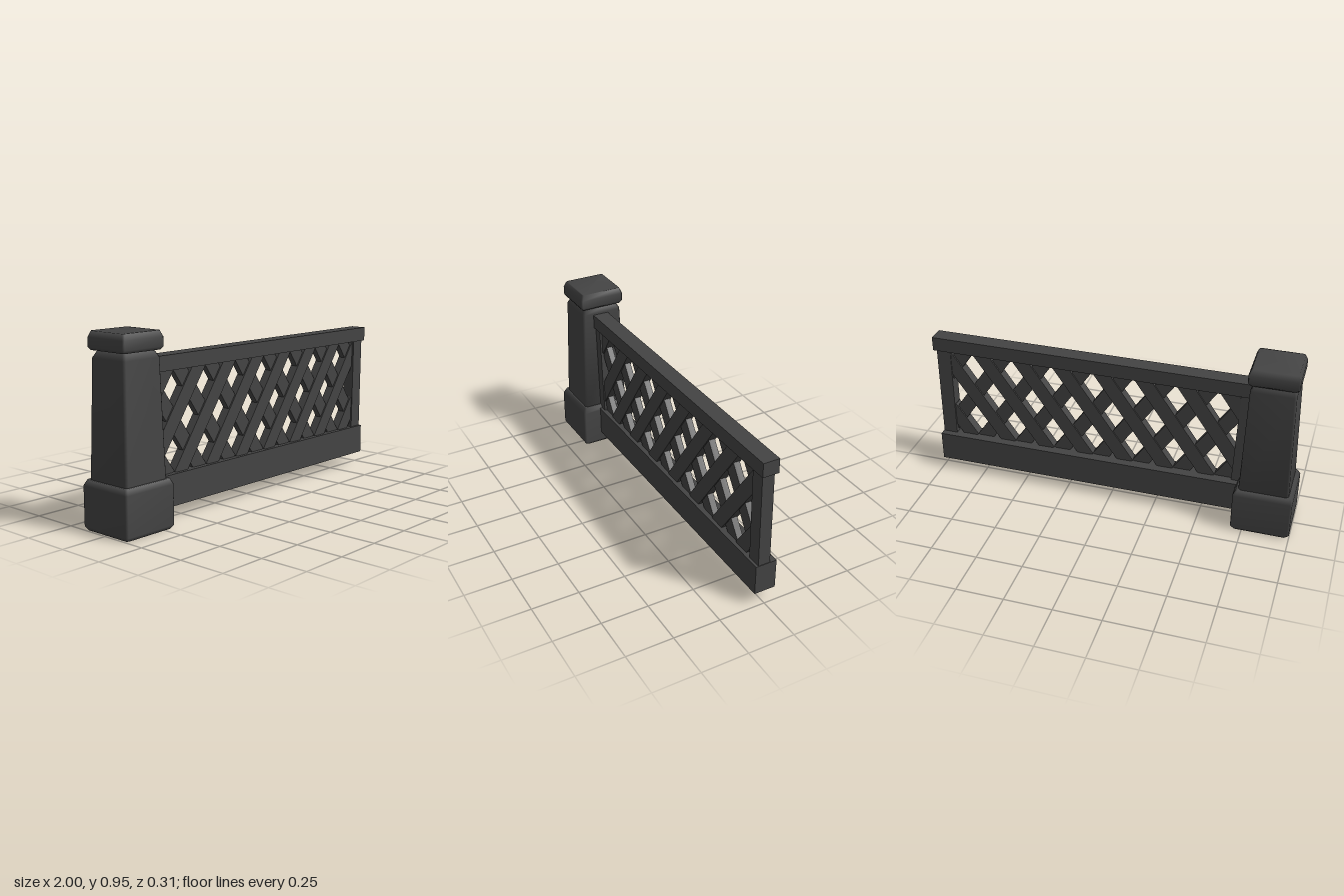
import * as THREE from 'three';

const material = new THREE.MeshStandardMaterial({ color: 0x444444 });
const flat = new THREE.MeshStandardMaterial({ color: 0x444444, flatShading: true });

function add(parent, name, geometry, mat = flat) {
  const mesh = new THREE.Mesh(geometry, mat);
  mesh.name = name;
  parent.add(mesh);
  return mesh;
}

// Box given by its limits; the top may be shifted to make it lean
function span(x0, x1, y0, y1, z0, z1, leanX = 0, leanZ = 0) {
  const g = new THREE.BoxGeometry(x1 - x0, y1 - y0, z1 - z0);
  g.translate((x0 + x1) / 2, (y0 + y1) / 2, (z0 + z1) / 2);
  const p = g.attributes.position;
  for (let i = 0; i < p.count; i++) {
    if (p.getY(i) > (y0 + y1) / 2) p.setXYZ(i, p.getX(i) + leanX, p.getY(i), p.getZ(i) + leanZ);
  }
  return g;
}

// Square stone with softened corners, lofted through [halfWidth, y] levels
function stone(levels, corner) {
  const pos = [], index = [];
  for (const [h, y] of levels) {
    const c = h - corner;
    for (const [x, z] of [[h, c], [h, -c], [c, -h], [-c, -h], [-h, -c], [-h, c], [-c, h], [c, h]]) pos.push(x, y, z);
  }
  for (let l = 0; l < levels.length - 1; l++) {
    for (let i = 0; i < 8; i++) {
      const a = l * 8 + i, b = l * 8 + (i + 1) % 8;
      index.push(a, b, b + 8, a, b + 8, a + 8);
    }
  }
  const top = (levels.length - 1) * 8;
  for (let i = 1; i < 7; i++) {
    index.push(0, i + 1, i);
    index.push(top, top + i, top + i + 1);
  }
  const g = new THREE.BufferGeometry();
  g.setAttribute('position', new THREE.Float32BufferAttribute(pos, 3));
  g.setIndex(index);
  g.computeVertexNormals();
  return g;
}

export function createModel() {
  const model = new THREE.Group();
  model.name = 'fenceSection';

  // Tapered stone pillar
  const pillar = new THREE.Group();
  pillar.name = 'pillar';
  pillar.position.x = -0.845;
  model.add(pillar);
  add(pillar, 'pillarBase', stone([[0.142, 0], [0.155, 0.02], [0.155, 0.22], [0.142, 0.248]], 0.01), material);
  add(pillar, 'pillarShaft', stone([[0.131, 0.235], [0.115, 0.83], [0.094, 0.872]], 0.012), material);
  add(pillar, 'pillarCap', stone([[0.117, 0.865], [0.127, 0.88], [0.127, 0.925], [0.115, 0.955]], 0.008), material);

  // Rails and uprights
  add(model, 'topRail', span(-0.76, 1, 0.745, 0.822, -0.035, 0.053));
  add(model, 'bottomRail', span(-0.76, 0.988, 0.068, 0.23, -0.065, 0.05));
  add(model, 'endUpright', span(0.907, 0.985, 0.22, 0.755, -0.029, 0.036, 0, 0.007));
  add(model, 'pillarUpright', span(-0.75, -0.658, 0.22, 0.755, -0.029, 0.036, -0.02, 0.007));

  // Diagonal lattice, each slat cut to the frame opening
  const lattice = new THREE.Group();
  lattice.name = 'lattice';
  model.add(lattice);
  const pitch = 0.2246, slope = 1.434, midY = 0.492;
  const angle = Math.atan(slope);
  for (const dir of [1, -1]) {
    for (let k = -3; k <= 7; k++) {
      const x = -0.342 + k * pitch;
      const reach = 0.278 / slope;
      const xa = Math.max(x - reach, -0.7), xb = Math.min(x + reach, 0.935);
      if (xb - xa < 0.03) continue;
      const mid = (xa + xb) / 2;
      const thickness = dir > 0 ? 0.05 : 0.034;
      const slat = add(lattice, dir > 0 ? 'risingSlat' : 'fallingSlat',
        new THREE.BoxGeometry((xb - xa) / Math.cos(angle), 0.079, thickness));
      slat.position.set(mid, midY + dir * slope * (mid - x), 0.006);
      slat.rotation.z = dir * angle;
    }
  }
  return model;
}
